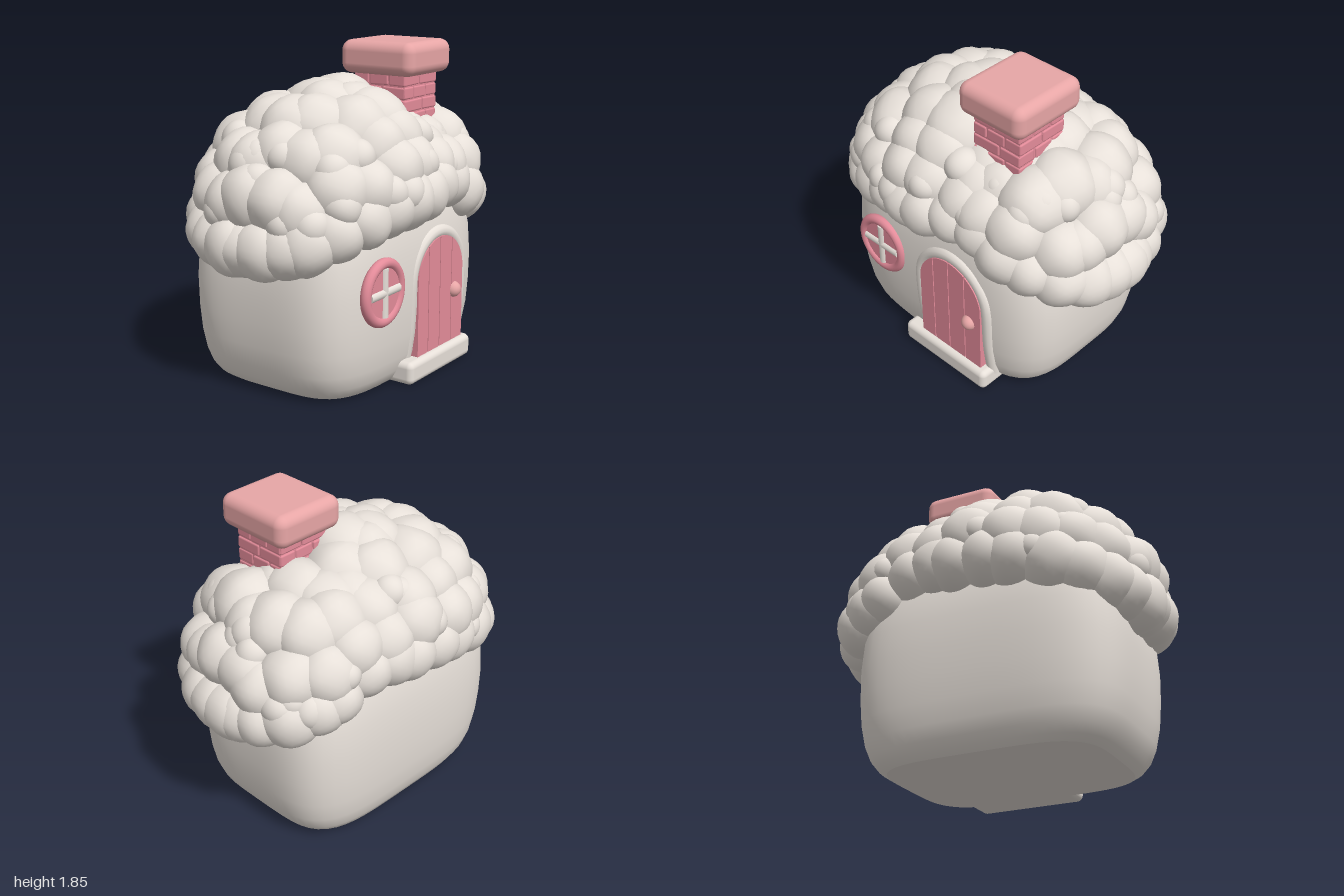
import * as THREE from 'three';
import { mergeGeometries, mergeVertices, toCreasedNormals } from 'three/addons/utils/BufferGeometryUtils.js';
import { RoundedBoxGeometry } from 'three/addons/geometries/RoundedBoxGeometry.js';

export function createModel() {
  const model = new THREE.Group();
  model.name = 'cottage';
  const mat = (name, color) => Object.assign(new THREE.MeshStandardMaterial({ color }), { name });
  const plaster = mat('plaster', 0xe7e0d9);
  const rose = mat('rose', 0xe48c9a);
  const blush = mat('blush', 0xeaa8a8);

  const add = (name, geo, material, x = 0, y = 0, z = 0, parent = model) => {
    const m = new THREE.Mesh(geo, material);
    m.name = name;
    m.position.set(x, y, z);
    parent.add(m);
    return m;
  };
  const group = (name) => {
    const g = new THREE.Group();
    g.name = name;
    model.add(g);
    return g;
  };
  let seed = 7;
  const rand = () => {
    seed = (seed * 16807) % 2147483647;
    return seed / 2147483647;
  };
  // Radius factor that turns a circle into a rounded rectangle of power n
  const squared = (c, s, n) => 1 / Math.pow(Math.pow(Math.abs(c), n) + Math.pow(Math.abs(s), n), 1 / n);

  // Walls: a lathe squared off into a soft rounded block
  const profile = [[0.002, 0], [0.4, 0], [0.8, 0], [0.86, 0.03], [0.91, 0.08], [0.95, 0.16], [0.98, 0.28],
    [0.995, 0.42], [1, 0.58], [0.985, 0.75], [0.94, 0.92], [0.82, 1.1], [0.5, 1.25], [0.002, 1.3]];
  const walls = new THREE.LatheGeometry(profile.map(([r, y]) => new THREE.Vector2(r, y)), 80);
  const wp = walls.attributes.position;
  for (let i = 0; i < wp.count; i++) {
    const x = wp.getX(i), z = wp.getZ(i), r = Math.hypot(x, z);
    const f = squared(x / r, z / r, 4.2);
    wp.setX(i, x * f * 0.785 - 0.035);
    wp.setZ(i, z * f * 0.575);
  }
  add('walls', toCreasedNormals(walls, 0.45), plaster);

  // Roof: rings of lumps over a drooping dome, with a saddle around the chimney
  const domePoint = (u, phi, r) => {
    const c = Math.cos(u), s = Math.sin(u), f = squared(c, s, 2.5);
    const reach = Math.pow(Math.max(0, Math.cos(phi)), 1.2);
    const x = (1 - r) * reach * f * c;
    const dip = Math.exp(-(((x - 0.25) / 0.14) ** 2));
    const droop = 0.225 * (x / 0.83) ** 2 * (1 - Math.sin(phi));
    return new THREE.Vector3(
      x,
      1.06 - droop + (0.61 - r) * Math.sin(phi) - (s > 0 ? 0.2 : 0.12) * dip * Math.sin(phi) + 0.05 * dip * reach,
      (0.7 - r) * reach * f * s * (1 - 0.09 * dip));
  };
  const lumps = [];
  const lump = (p, r) => {
    let g = new THREE.IcosahedronGeometry(r, 4);
    g.deleteAttribute('uv');
    g.deleteAttribute('normal');
    g = mergeVertices(g);
    const a = g.attributes.position, v = new THREE.Vector3(), k = rand() * 6;
    for (let i = 0; i < a.count; i++) {
      v.fromBufferAttribute(a, i);
      v.multiplyScalar(1 + 0.018 * Math.sin(28 * v.x + k) * Math.sin(26 * v.y + 2 * k) + 0.018 * Math.sin(30 * v.z - k));
      a.setXYZ(i, v.x + p.x, v.y + p.y, v.z + p.z);
    }
    g.computeVertexNormals();
    lumps.push(g);
  };
  // [elevation in degrees, count, radius]
  const rings = [[0, 32, 0.17], [18, 25, 0.18], [37, 19, 0.2], [55, 13, 0.22], [73, 7, 0.22], [90, 1, 0.22]];
  rings.forEach(([deg, count, radius], k) => {
    for (let i = 0; i < count; i++) {
      const u = ((i + (k % 2) * 0.5 + (rand() - 0.5) * 0.45) / count) * Math.PI * 2;
      const phi = THREE.MathUtils.degToRad(deg + (k ? (rand() - 0.5) * 8 : 0));
      lump(domePoint(u, phi, radius), radius * (0.94 + 0.12 * rand()));
    }
  });
  // Smaller lumps budding between the large ones
  for (let i = 0; i < 40; i++) {
    const phi = Math.asin(0.03 + 0.7 * rand());
    lump(domePoint(i * 2.39996, phi, 0.11), 0.09 + 0.025 * rand());
  }
  add('roof', mergeGeometries(lumps), plaster);

  // Solid core that closes gaps between roof lumps
  const core = new THREE.SphereGeometry(1, 40, 16, 0, Math.PI * 2, 0, Math.PI / 2);
  core.scale(0.82, 0.45, 0.54);
  add('roofCore', core, plaster, 0, 1.0, 0);

  // Chimney: core, staggered bricks and a thick cap
  const chimney = group('chimney');
  const cx = 0.287, cz = 0.172, w = 0.335, d = 0.345;
  add('chimneyCore', new THREE.BoxGeometry(w - 0.016, 0.6, d - 0.016), rose, cx, 1.4, cz, chimney);
  const bricks = [];
  const rowH = 0.073;
  for (let row = 0; row < 7; row++) {
    for (let side = 0; side < 4; side++) {
      const len = side % 2 ? d : w, depth = side % 2 ? w : d;
      const shift = (rand() - 0.5) * 0.12;
      const cuts = (row + side) % 2 ? [0, 0.34 + shift, 0.72 + shift, 1] : [0, 0.52 + shift, 1];
      for (let i = 0; i + 1 < cuts.length; i++) {
        const b = new RoundedBoxGeometry((cuts[i + 1] - cuts[i]) * len - 0.006, rowH - 0.006, 0.035, 1, 0.01);
        b.rotateZ((rand() - 0.5) * 0.06);
        b.translate(((cuts[i] + cuts[i + 1]) / 2 - 0.5) * len, 1.2 + row * rowH, depth / 2 - 0.0175 + (rand() - 0.5) * 0.006);
        b.rotateY((side * Math.PI) / 2);
        b.translate(cx, 0, cz);
        bricks.push(b);
      }
    }
  }
  add('bricks', mergeGeometries(bricks), rose, 0, 0, 0, chimney);
  add('chimneyCap', new RoundedBoxGeometry(0.45, 0.19, 0.49, 5, 0.06), blush, 0.29, 1.757, 0.17, chimney);

  // Door: four planks under a round arch
  const door = group('door');
  const doorX = 0.15, doorR = 0.24, spring = 0.54;
  const plank = (x0, x1) => {
    const s = new THREE.Shape();
    s.moveTo(x0, 0.1);
    s.lineTo(x1, 0.1);
    for (let i = 0; i <= 16; i++) {
      const x = x1 + ((x0 - x1) * i) / 16;
      s.lineTo(x, spring + Math.sqrt(doorR ** 2 - x * x));
    }
    return new THREE.ExtrudeGeometry(s, { depth: 0.1, bevelEnabled: false });
  };
  const seams = [-0.24, -0.13, -0.01, 0.115, 0.24];
  for (let i = 0; i < 4; i++) add('doorPlank', plank(seams[i] + 0.003, seams[i + 1] - 0.003), rose, doorX, 0, 0.483, door);
  add('doorBacking', plank(-0.236, 0.236), rose, doorX, 0, 0.477, door);
  add('doorKnob', new THREE.SphereGeometry(0.047, 24, 16), blush, 0.297, 0.432, 0.575, door);

  // Soft plaster swelling following the arch
  const arch = [new THREE.Vector3(-0.262, 0.08, 0.5), new THREE.Vector3(-0.262, 0.3, 0.53)];
  for (let i = 0; i <= 12; i++) {
    const a = Math.PI * (1 - i / 12);
    arch.push(new THREE.Vector3(Math.cos(a) * 0.262, spring + Math.sin(a) * 0.262, 0.542));
  }
  arch.push(new THREE.Vector3(0.262, 0.3, 0.53), new THREE.Vector3(0.262, 0.08, 0.5));
  add('doorSurround', new THREE.TubeGeometry(new THREE.CatmullRomCurve3(arch), 60, 0.04, 12), plaster, doorX, 0, 0, door);

  // Doorstep
  add('doorstep', new RoundedBoxGeometry(0.65, 0.13, 0.26, 4, 0.035), plaster, 0.117, 0.065, 0.49);

  // Round window with crossed glazing bars
  const win = group('window');
  win.position.set(-0.416, 0.59, 0.567);
  add('windowFrame', new THREE.TorusGeometry(0.16, 0.03, 14, 48), rose, 0, 0, 0, win);
  const pane = new THREE.CylinderGeometry(0.15, 0.15, 0.03, 40);
  pane.rotateX(Math.PI / 2);
  add('windowPane', pane, rose, 0, 0, 0, win);
  for (const turn of [0, Math.PI / 2]) {
    const bar = add('glazingBar', new THREE.CylinderGeometry(0.027, 0.027, 0.27, 14), plaster, 0, 0, 0.003, win);
    bar.rotation.z = turn;
  }
  return model;
}
